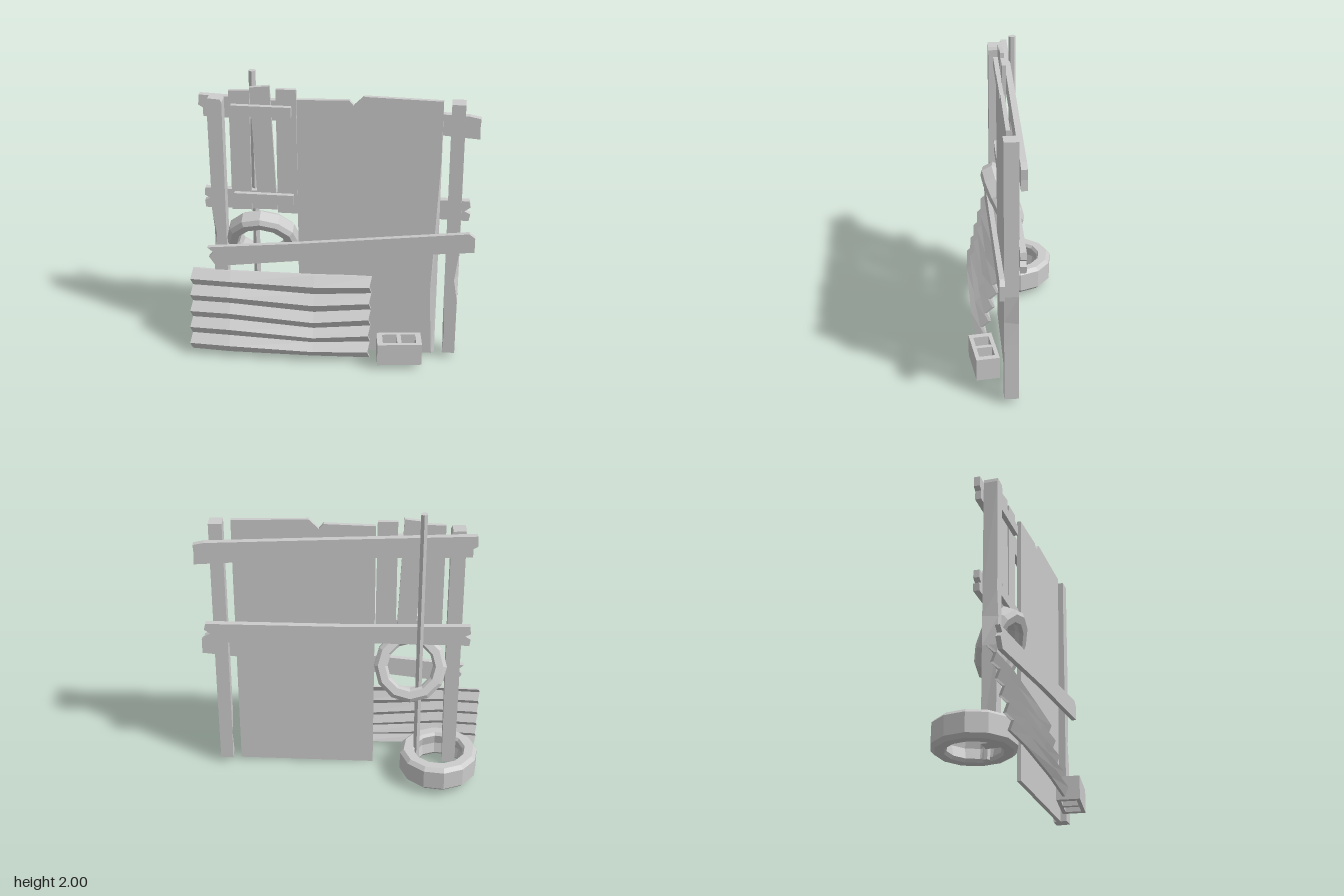
import * as THREE from 'three';

const material = new THREE.MeshStandardMaterial({ color: 0xcccccc, flatShading: true });

function mesh(name, geometry) {
  const m = new THREE.Mesh(geometry, material);
  m.name = name;
  return m;
}

// Flat board cut from a front outline; an optional back outline skews the edges for chips.
function board(name, front, z0, z1, back) {
  const shape = new THREE.Shape(front.map(([x, y]) => new THREE.Vector2(x, y)));
  const g = new THREE.ExtrudeGeometry(shape, { depth: z1 - z0, bevelEnabled: false });
  g.translate(0, 0, z0);
  if (back) {
    const p = g.attributes.position;
    for (let i = 0; i < p.count; i++) {
      if (p.getZ(i) > (z0 + z1) / 2) continue;
      const k = front.findIndex(([x, y]) => Math.hypot(x - p.getX(i), y - p.getY(i)) < 1e-4);
      if (k >= 0) p.setXY(i, back[k][0], back[k][1]);
    }
    g.computeVertexNormals();
  }
  return mesh(name, g);
}

// Twelve-sided tyre with bevelled shoulders, axis along y
function tyre(name, R, r, h) {
  const t = h / 2, b = 0.025;
  const profile = [[R, -t + b], [R, t - b], [R - b, t], [r + 0.015, t], [r, t - 0.02],
    [r + 0.015, 0], [r, -t + 0.02], [r + 0.015, -t], [R - b, -t], [R, -t + b]];
  return mesh(name, new THREE.LatheGeometry(profile.map(([x, y]) => new THREE.Vector2(x, y)), 12));
}

// Corrugated sheet: a box whose rows zigzag in z and whose columns sag
function corrugatedSheet() {
  const g = new THREE.BoxGeometry(1, 1, 1, 3, 10, 1);
  const p = g.attributes.position;
  const columnX = [-0.945, -0.68, -0.11, 0.272];
  const columnZ = [0, 0.015, 0.008, -0.012];
  const sag = [0, -0.005, 0.035, 0];
  for (let i = 0; i < p.count; i++) {
    const col = Math.round((p.getX(i) + 0.5) * 3);
    const row = Math.round((0.5 - p.getY(i)) * 10);
    const thick = p.getZ(i) > 0 ? 0 : -0.018;
    const ragged = col === 0 || col === 3 ? (row % 2 ? -0.008 : 0.004) : 0;
    p.setXYZ(i,
      columnX[col] + ragged,
      0.605 - row * 0.0555 - sag[col] * Math.sin(Math.PI * row / 10),
      0.13 + row * 0.0135 + (row % 2 ? 0.025 : -0.015) + columnZ[col] + thick);
  }
  g.computeVertexNormals();
  return mesh('corrugatedSheet', g);
}

// Hollow building block with two vertical holes
function hollowBlock() {
  const rect = (Type, x0, y0, x1, y1) => new Type([[x0, y0], [x1, y0], [x1, y1], [x0, y1]]
    .map(([x, y]) => new THREE.Vector2(x, y)));
  const shape = rect(THREE.Shape, -0.15, -0.078, 0.15, 0.078);
  for (const s of [-1, 1]) {
    shape.holes.push(rect(THREE.Path, s * 0.063 - 0.049, -0.052, s * 0.063 + 0.049, 0.052));
  }
  const g = new THREE.ExtrudeGeometry(shape, { depth: 0.16, bevelEnabled: false });
  g.rotateX(-Math.PI / 2);
  const m = mesh('hollowBlock', g);
  m.position.set(0.475, 0.045, 0.225);
  m.rotation.y = 0.13;
  return m;
}

export function createModel() {
  const group = new THREE.Group();
  group.name = 'scrapBarricade';

  // Uprights with chipped edges
  group.add(board('rightPost',
    [[-0.795, 0.045], [-0.705, 0.045], [-0.7, 0.9], [-0.7, 1.83], [-0.71, 1.85], [-0.79, 1.855],
      [-0.797, 1.83], [-0.79, 1.05], [-0.765, 0.88], [-0.79, 0.68]], 0.022, 0.115,
    [[-0.795, 0.045], [-0.705, 0.045], [-0.7, 0.9], [-0.7, 1.83], [-0.71, 1.85], [-0.79, 1.855],
      [-0.797, 1.83], [-0.797, 1.05], [-0.797, 0.88], [-0.797, 0.68]]));
  group.add(board('leftPost',
    [[0.765, 0.045], [0.85, 0.045], [0.85, 0.46], [0.825, 0.62], [0.85, 0.82], [0.85, 1.88],
      [0.762, 1.88], [0.762, 0.4], [0.775, 0.22]], 0.022, 0.115,
    [[0.765, 0.045], [0.85, 0.045], [0.851, 0.46], [0.852, 0.62], [0.851, 0.82], [0.85, 1.88],
      [0.762, 1.88], [0.762, 0.4], [0.762, 0.22]]));

  // Large sheet with a notch in the top and a dented side edge
  group.add(board('mainPanel',
    [[-0.22, 0.005], [0.69, 0.02], [0.667, 0.5], [0.692, 1.1], [0.708, 1.48], [0.71, 1.89],
      [0.21, 1.9], [0.145, 1.835], [0.115, 1.87], [-0.22, 1.86]], 0.065, 0.092,
    [[-0.22, 0.005], [0.71, 0.02], [0.711, 0.5], [0.711, 1.1], [0.711, 1.48], [0.71, 1.89],
      [0.21, 1.9], [0.145, 1.835], [0.115, 1.87], [-0.22, 1.86]]));

  // Upright slats and the two battens holding them
  const slats = [
    [[-0.665, 1.04], [-0.535, 1.045], [-0.53, 1.895], [-0.665, 1.89]],
    [[-0.49, 1.05], [-0.365, 1.055], [-0.4, 1.93], [-0.53, 1.915]],
    [[-0.36, 1.03], [-0.225, 1.03], [-0.23, 1.91], [-0.36, 1.91]]];
  for (const s of slats) group.add(board('slat', s, 0.027, 0.053));
  group.add(board('upperBatten', [[-0.65, 1.73], [-0.26, 1.73], [-0.26, 1.8], [-0.65, 1.8]], 0.053, 0.085));
  group.add(board('lowerBatten', [[-0.645, 1.105], [-0.255, 1.1], [-0.25, 1.175], [-0.645, 1.175]], 0.053, 0.085));

  // Rear rails with splintered ends
  group.add(board('upperRail',
    [[-0.84, 1.69], [0.1, 1.67], [0.95, 1.61], [0.945, 1.68], [0.95, 1.75], [0.88, 1.765],
      [0.1, 1.8], [-0.865, 1.84], [-0.87, 1.77], [-0.84, 1.75]], -0.02, 0.02));
  group.add(board('lowerRail',
    [[-0.85, 1.03], [0, 1.04], [0.9, 1.02], [0.91, 1.07], [0.87, 1.09], [0.91, 1.12],
      [0.9, 1.165], [0, 1.16], [-0.85, 1.175], [-0.855, 1.12], [-0.82, 1.1], [-0.855, 1.08]], -0.02, 0.02));

  // Slanting front rail
  group.add(board('frontRail',
    [[-0.775, 0.65], [0.1, 0.765], [0.95, 0.855], [0.95, 0.96], [0.91, 0.99], [-0.2, 0.855],
      [-0.83, 0.79], [-0.79, 0.755], [-0.82, 0.72]], 0.115, 0.148));

  group.add(corrugatedSheet(), hollowBlock());

  // Tyres: one flat around the post, one hung at an angle
  const groundTyre = tyre('groundTyre', 0.268, 0.168, 0.18);
  groundTyre.position.set(-0.675, 0.135, -0.06);
  groundTyre.rotation.y = 0.12;
  const leaningTyre = tyre('leaningTyre', 0.245, 0.155, 0.125);
  leaningTyre.position.set(-0.465, 0.83, 0.037);
  leaningTyre.rotation.x = -1.11;
  group.add(groundTyre, leaningTyre);

  // Thin pole behind the fence
  const pole = mesh('pole', new THREE.CylinderGeometry(0.024, 0.024, 1.955, 6));
  pole.position.set(-0.522, 1.0225, -0.034);
  group.add(pole);

  return group;
}
